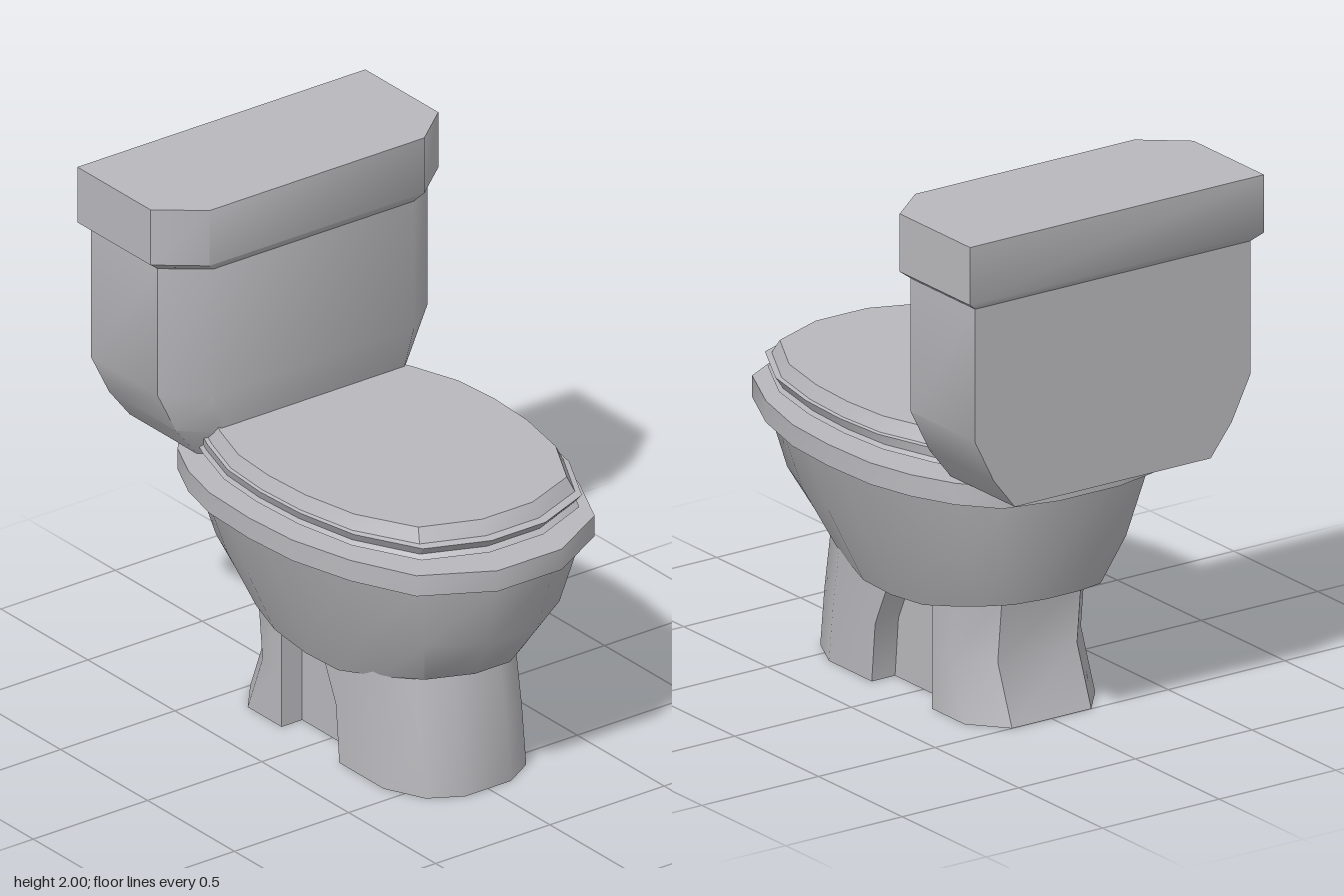
import * as THREE from 'three';
import { toCreasedNormals } from 'three/addons/utils/BufferGeometryUtils.js';

const porcelain = new THREE.MeshStandardMaterial({ color: 0xb9b9bd });
porcelain.name = 'greyPorcelain';

// Mirror a half outline (front to back on +x) into a closed ring at height y (number or rule of z)
function ring(half, y) {
  const pts = half.map(([x, z]) => [x, typeof y === 'function' ? y(z) : y, z]);
  return pts.concat(pts.slice().reverse().map(([x, h, z]) => [-x, h, z]));
}

// Skin rings from bottom to top and cap both ends with strips across x
function loft(name, rings, crease = 0.8) {
  const n = rings[0].length, index = [];
  const quad = (a, b, c, d) => index.push(a, b, c, a, c, d);
  for (let k = 0; k < rings.length - 1; k++)
    for (let i = 0; i < n; i++) {
      const j = (i + 1) % n;
      quad(k * n + i, k * n + j, (k + 1) * n + j, (k + 1) * n + i);
    }
  const top = (rings.length - 1) * n;
  for (let i = 0; i < n / 2 - 1; i++) {
    quad(top + i, top + i + 1, top + n - 2 - i, top + n - 1 - i);
    quad(n - 1 - i, n - 2 - i, i + 1, i);
  }
  const g = new THREE.BufferGeometry();
  g.setAttribute('position', new THREE.Float32BufferAttribute(rings.flat(2), 3));
  g.setIndex(index);
  const mesh = new THREE.Mesh(toCreasedNormals(g, crease), porcelain);
  mesh.name = name;
  return mesh;
}

// Rescale an outline to a new half width and front/back limits
function fit(half, w, front, back) {
  const xs = half.map(p => p[0]), zs = half.map(p => p[1]);
  const mx = Math.max(...xs), hi = Math.max(...zs), lo = Math.min(...zs);
  return half.map(([x, z]) => [x / mx * w, back + (z - lo) / (hi - lo) * (front - back)]);
}

export function createModel() {
  const model = new THREE.Group();
  model.name = 'toilet';

  // Bowl: oval rim over a tapering body whose underside dips in the middle
  const rim = [[0.14, 0.885], [0.39, 0.745], [0.5, 0.51], [0.565, 0.26], [0.58, 0.03],
    [0.57, -0.21], [0.525, -0.39], [0.45, -0.55], [0.34, -0.68], [0.13, -0.73]];
  const dip = z => 0.375 + 0.105 * Math.max(0, Math.abs(z - 0.05) - 0.15) / 0.47;
  model.add(loft('bowl', [
    ring(fit(rim, 0.32, 0.67, -0.57), dip),
    ring(fit(rim, 0.44, 0.79, -0.63), 0.65),
    ring(fit(rim, 0.52, 0.85, -0.69), 0.89),
    ring(rim, 0.905),
    ring(rim, 0.985),
  ]));

  // Seat and closed lid, floating just above the rim
  const lid = [[0.11, 0.755], [0.325, 0.67], [0.44, 0.455], [0.485, 0.23], [0.495, 0.03],
    [0.48, -0.16], [0.42, -0.345], [0.4, -0.39]];
  model.add(loft('seat', [
    ring(fit(lid, 0.525, 0.81, -0.46), 1.02),
    ring(fit(lid, 0.515, 0.79, -0.45), 1.035),
    ring(fit(lid, 0.53, 0.82, -0.43), 1.07),
    ring(fit(lid, 0.515, 0.79, -0.42), 1.075),
  ], 0.5));
  model.add(loft('lid', [
    ring(fit(lid, 0.52, 0.79, -0.42), 1.07),
    ring(lid, 1.125),
  ], 0.5));

  // Tank: chamfered front corners, narrowing towards the bottom
  const tank = (w, front, side, back, c = 0.15) =>
    [[w - c, front], [w, side], [w, back]];
  model.add(loft('tank', [
    ring(tank(0.42, -0.4, -0.48, -0.865, 0.1), 0.985),
    ring(tank(0.51, -0.36, -0.48, -0.865, 0.12), 1.1),
    ring(tank(0.59, -0.36, -0.48, -0.865), 1.26),
    ring(tank(0.59, -0.36, -0.48, -0.865), 1.76),
  ]));
  model.add(loft('tankLid', [
    ring(tank(0.59, -0.36, -0.48, -0.865), 1.755),
    ring(tank(0.63, -0.34, -0.47, -0.89, 0.16), 1.785),
    ring(tank(0.63, -0.34, -0.47, -0.89, 0.16), 2),
  ]));

  // Pedestal: rounded front foot, narrow waist, flared rear foot
  const frontFoot = (f, b) => [[0.1, f], [0.22, f - 0.07], [0.29, f - 0.22], [0.29, b]];
  model.add(loft('frontFoot', [
    ring(frontFoot(0.645, 0.17), 0),
    ring(frontFoot(0.62, 0.15), 0.22),
    ring(frontFoot(0.58, 0.04), 0.46),
  ]));
  const waist = new THREE.Mesh(new THREE.BoxGeometry(0.38, 0.455, 0.5), porcelain);
  waist.name = 'waist';
  waist.position.set(0, 0.2275, -0.02);
  model.add(waist);
  const rearFoot = b => [[0.28, -0.175], [0.28, b + 0.13], [0.17, b]];
  model.add(loft('rearFoot', [
    ring(rearFoot(-0.5), 0),
    ring(rearFoot(-0.415), 0.22),
    ring(rearFoot(-0.44), 0.46),
  ]));

  return model;
}
